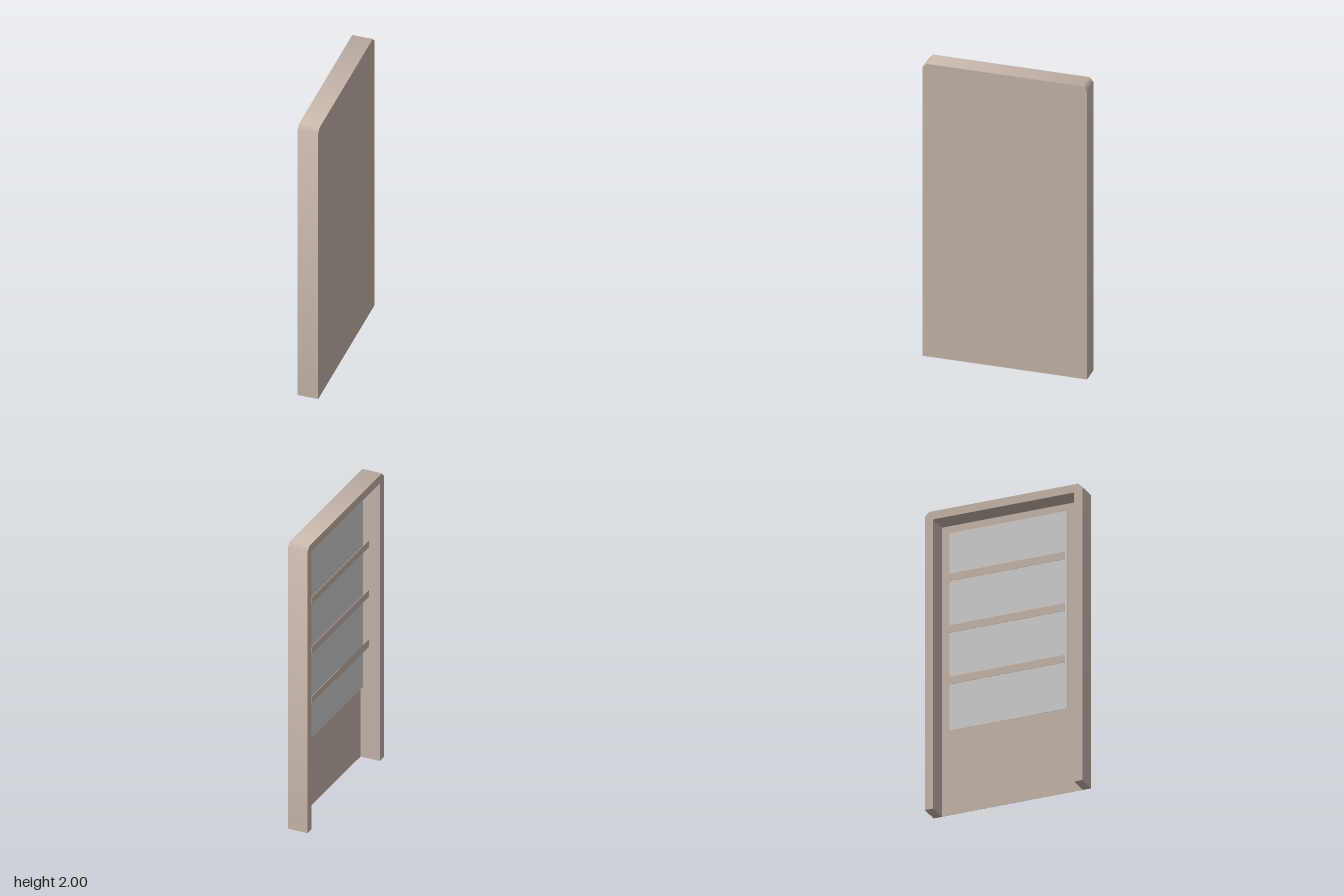
import * as THREE from 'three';

const HALF_DEPTH = 0.066; // along x
const HALF_WIDTH = 0.527; // along z
const HEIGHT = 2;
const CLIP = 0.028; // clipped top corners
const RIM = 0.055;
const SKIN = 0.001;
const INNER = HALF_WIDTH - RIM;

// Outline seen from the side: upright slab with clipped top corners
const outline = [
  [HALF_WIDTH, 0], [HALF_WIDTH, HEIGHT - CLIP], [HALF_WIDTH - CLIP, HEIGHT],
  [-HALF_WIDTH + CLIP, HEIGHT], [-HALF_WIDTH, HEIGHT - CLIP], [-HALF_WIDTH, 0],
];

// Extrudes a side outline along x, shading the clipped corners smoothly
function slab(points, x0, x1) {
  const shape = new THREE.Shape(points.map(([a, b]) => new THREE.Vector2(a, b)));
  const geometry = new THREE.ExtrudeGeometry(shape, { depth: x1 - x0, bevelEnabled: false });
  geometry.rotateY(Math.PI / 2).translate(x0, 0, 0);
  const { position, normal } = geometry.attributes;
  for (let i = 0; i < position.count; i++) {
    const y = position.getY(i), z = position.getZ(i);
    if (Math.abs(normal.getX(i)) > 0.5 || y < HEIGHT - CLIP - 0.001) continue;
    const side = Math.sign(z);
    if (y > HEIGHT - 0.001) normal.setXYZ(i, 0, 0.924, 0.383 * side);
    else if (Math.abs(z) > HALF_WIDTH - 0.001) normal.setXYZ(i, 0, 0.383, 0.924 * side);
  }
  return geometry;
}

export function createModel() {
  const group = new THREE.Group();
  const beige = new THREE.MeshStandardMaterial({ name: 'beige', color: 0xc9b9ae });
  const grey = new THREE.MeshStandardMaterial({ name: 'lightGrey', color: 0xd3d3d3 });

  function add(name, geometry, material) {
    const mesh = new THREE.Mesh(geometry, material);
    mesh.name = name;
    group.add(mesh);
    return mesh;
  }

  // Frame: two posts and a top rail, open at the floor
  const opening = [[-INNER, 0], [-INNER, HEIGHT - RIM], [INNER, HEIGHT - RIM], [INNER, 0]];
  add('frame', slab([...outline, ...opening], -HALF_DEPTH, HALF_DEPTH - SKIN), beige);

  // Very thin panel closing the +x side
  add('sidePanel', slab(outline, HALF_DEPTH - SKIN, HALF_DEPTH), beige);

  // Grey sheet standing inside the frame, clear of the panel
  const midY = 1.205, width = 0.79;
  const sheet = add('innerSheet', new THREE.BoxGeometry(0.002, 1.33, width), grey);
  sheet.position.set(0.011, midY, 0);

  // Slim crossbars in front of the sheet, spaced evenly about its middle
  for (let i = -1; i <= 1; i++) {
    const bar = add(`crossbar${i + 2}`, new THREE.BoxGeometry(0.002, 0.05, width), beige);
    bar.position.set(-0.03, midY + i * 0.347, 0);
  }

  return group;
}
